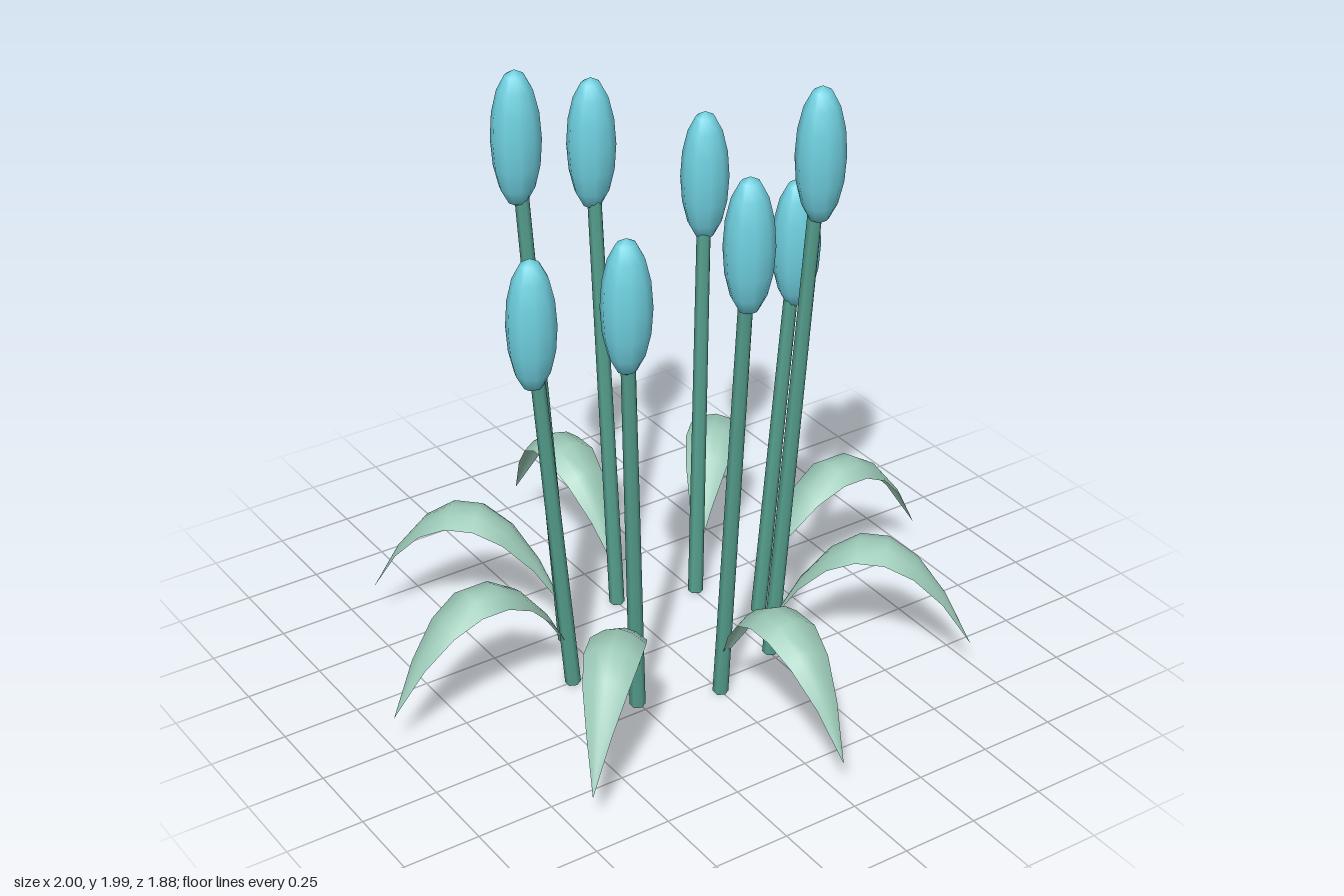
import * as THREE from 'three';

const budMaterial = new THREE.MeshStandardMaterial({ color: 0x6fd0e0 });
const stemMaterial = new THREE.MeshStandardMaterial({ color: 0x559f8e });
const leafMaterial = new THREE.MeshStandardMaterial({ color: 0x9ac7b5, side: THREE.DoubleSide });

// Arching leaf along +x: pointed at both ends, edges curling down
function leafGeometry() {
  const span = 0.64, halfWidth = 0.088, baseY = 0.12, rise = 0.36, curl = 0.045;
  const geometry = new THREE.PlaneGeometry(1, 2, 7, 4).rotateX(-Math.PI / 2);
  const p = geometry.attributes.position;
  for (let i = 0; i < p.count; i++) {
    const t = p.getX(i) + 0.5;
    const across = p.getZ(i);
    const width = Math.max(0, Math.sin(Math.PI * t));
    const y = baseY + rise * 4 * t * (1 - t) - curl * width * across * across;
    p.setXYZ(i, t * span, y, across * halfWidth * width);
  }
  geometry.computeVertexNormals();
  return geometry;
}

// Straight tapered stem between two points
function makeStem(from, to) {
  const direction = to.clone().sub(from);
  const stem = new THREE.Mesh(new THREE.CylinderGeometry(0.022, 0.025, direction.length(), 6), stemMaterial);
  stem.position.copy(from).add(to).multiplyScalar(0.5);
  stem.quaternion.setFromUnitVectors(new THREE.Vector3(0, 1, 0), direction.normalize());
  stem.name = 'stem';
  return stem;
}

export function createModel() {
  const model = new THREE.Group();
  model.name = 'flowerCluster';
  const budGeometry = new THREE.SphereGeometry(1, 10, 8).scale(0.079, 0.22, 0.072);
  const leafShape = leafGeometry();
  const budHeights = [1.32, 1.77, 1.62, 1.47];

  // Eight plants around an oval, each with a stem, a bud and a leaf
  for (let i = 0; i < 8; i++) {
    const angle = (i * Math.PI) / 4;
    const c = Math.cos(angle), s = Math.sin(angle);
    const root = new THREE.Vector3(0.36 * c, 0.003, 0.3 * s);
    const budCentre = new THREE.Vector3(0.478 * c, budHeights[i % 4], 0.418 * s);

    const plant = new THREE.Group();
    plant.name = 'plant';

    const bud = new THREE.Mesh(budGeometry, budMaterial);
    bud.name = 'bud';
    bud.position.copy(budCentre);

    const leaf = new THREE.Mesh(leafShape, leafMaterial);
    leaf.name = 'leaf';
    leaf.position.set(root.x, 0, root.z);
    leaf.rotation.y = -angle;

    plant.add(makeStem(root, root.clone().lerp(budCentre, 0.9)), bud, leaf);
    model.add(plant);
  }
  return model;
}
